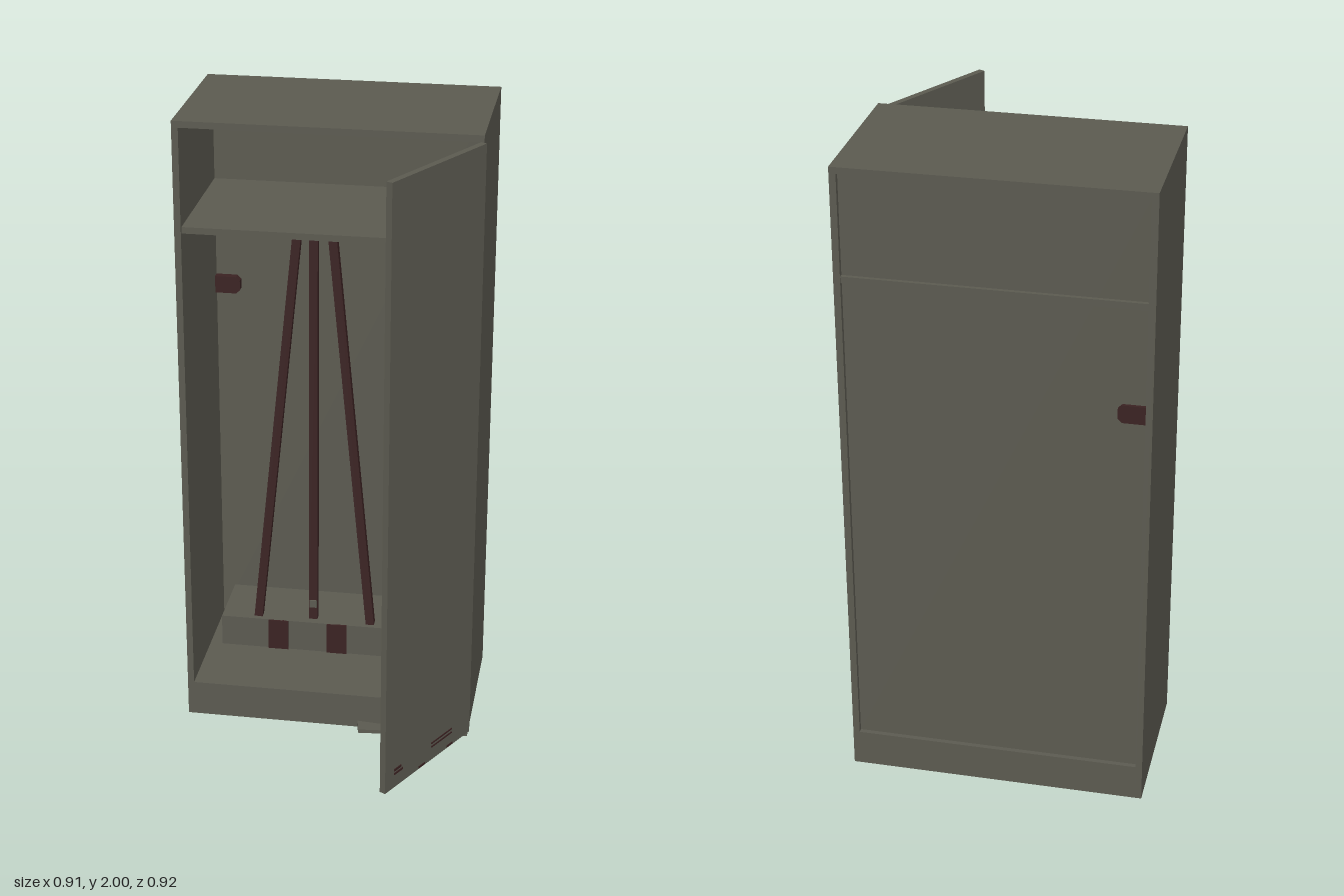
import * as THREE from 'three';

export function createModel() {
  const root = new THREE.Group();
  const steel = new THREE.MeshStandardMaterial({ color: 0x5b5a50 });
  steel.name = 'olive grey steel';
  const red = new THREE.MeshStandardMaterial({ color: 0x3a2222 });
  red.name = 'dark red';

  // Box given by its minimum and maximum corners
  function box(name, mat, x0, x1, y0, y1, z0, z1, parent = root) {
    const mesh = new THREE.Mesh(new THREE.BoxGeometry(x1 - x0, y1 - y0, z1 - z0), mat);
    mesh.position.set((x0 + x1) / 2, (y0 + y1) / 2, (z0 + z1) / 2);
    mesh.name = name;
    parent.add(mesh);
    return mesh;
  }

  // Square bar between two points
  function bar(name, a, b, size) {
    const from = new THREE.Vector3(...a), to = new THREE.Vector3(...b);
    const dir = to.clone().sub(from);
    const mesh = new THREE.Mesh(new THREE.BoxGeometry(size, dir.length(), size), red);
    mesh.position.copy(from).add(to).multiplyScalar(0.5);
    mesh.quaternion.setFromUnitVectors(new THREE.Vector3(0, 1, 0), dir.normalize());
    mesh.name = name;
    root.add(mesh);
  }

  // Cabinet shell, hollow below the floor
  const L = -0.46, R = 0.447, B = -0.46, F = 0.05;
  box('rightWall', steel, L, L + 0.02, 0.015, 1.98, B, F);
  box('leftWall', steel, R - 0.02, R, 0.015, 1.98, B, F);
  box('roof', steel, L, R, 1.98, 2, B, F);
  box('floor', steel, L + 0.02, R - 0.02, 0.11, 0.13, B + 0.02, F - 0.02);
  box('frontPlinth', steel, L + 0.02, R - 0.02, 0.015, 0.13, F - 0.02, F);
  box('backPlinth', steel, L + 0.02, R - 0.02, 0.015, 0.13, B, B + 0.02);
  box('backPanel', steel, L + 0.02, R - 0.02, 0.13, 1.98, B + 0.015, B + 0.03);
  box('shelf', steel, L + 0.02, R - 0.02, 1.655, 1.675, B + 0.003, F - 0.01);

  // Storage blocks on the floor
  box('rackBase', steel, -0.40, 0.14, 0.13, 0.235, -0.43, -0.21);
  box('sideBlock', steel, 0.14, R - 0.02, 0.13, 0.32, -0.43, -0.21);
  for (const x of [-0.21, -0.015]) box('rackPlate', red, x - 0.033, x + 0.033, 0.13, 0.235, -0.212, -0.205);

  // Leaning rods
  bar('rightRod', [-0.28, 0.235, -0.24], [-0.145, 1.6, -0.27], 0.027);
  bar('middleRod', [-0.098, 0.235, -0.25], [-0.098, 1.6, -0.28], 0.027);
  bar('leftRod', [0.092, 0.235, -0.24], [-0.04, 1.585, -0.27], 0.027);
  box('rodCollar', steel, -0.11, -0.086, 0.28, 0.305, -0.25, -0.232);

  // Pegs below the floor
  for (const x of [-0.36, -0.17, 0.03, 0.22]) {
    box('peg', red, x - 0.012, x + 0.012, 0.06, 0.11, -0.34, -0.31);
    box('pegFoot', red, x - 0.03, x + 0.03, 0.085, 0.1, -0.35, -0.3);
  }

  // Bevelled latches, one through the back and one at the door edge
  function latch(name, width, height, depth) {
    const w = width / 2, h = height / 2, c = 0.012;
    const shape = new THREE.Shape([
      [-w, -h], [w - c, -h], [w, -h + c], [w, h - c], [w - c, h], [-w, h],
    ].map(([x, y]) => new THREE.Vector2(x, y)));
    const mesh = new THREE.Mesh(new THREE.ExtrudeGeometry(shape, { depth, bevelEnabled: false }), red);
    mesh.name = name;
    root.add(mesh);
    return mesh;
  }
  latch('backLatch', 0.08, 0.055, 0.05).position.set(-0.4, 1.33, -0.455);
  const edgeLatch = latch('edgeLatch', 0.04, 0.055, 0.03);
  edgeLatch.rotation.y = Math.PI / 2;
  edgeLatch.position.set(0.42, 1.335, 0.038);

  // Open door, hinged on the left front edge; local -z is its outer face
  const door = new THREE.Group();
  door.name = 'door';
  door.position.set(0.446, 0, 0.055);
  door.rotation.y = Math.atan2(-0.878, -0.478);
  root.add(door);
  box('doorPanel', steel, 0, 0.45, 0.04, 1.98, -0.01, 0.01, door);
  const marks = [
    [0.1, 0.21, 0.085, 0.09], [0.1, 0.21, 0.098, 0.103],
    [0.36, 0.405, 0.085, 0.092], [0.37, 0.405, 0.098, 0.106],
    [0.095, 0.125, 0.043, 0.05], [0.245, 0.275, 0.043, 0.05],
  ];
  for (const [a, b, y0, y1] of marks) box('doorMark', red, a, b, y0, y1, -0.012, -0.009, door);

  // Loose plate tilted under the front
  const plate = box('loosePlate', steel, -0.14, 0.14, -0.006, 0.006, -0.1, 0.1);
  plate.position.set(0.222, 0.021, -0.02);
  plate.rotation.set(-0.03, 0.195, -0.06);

  return root;
}
